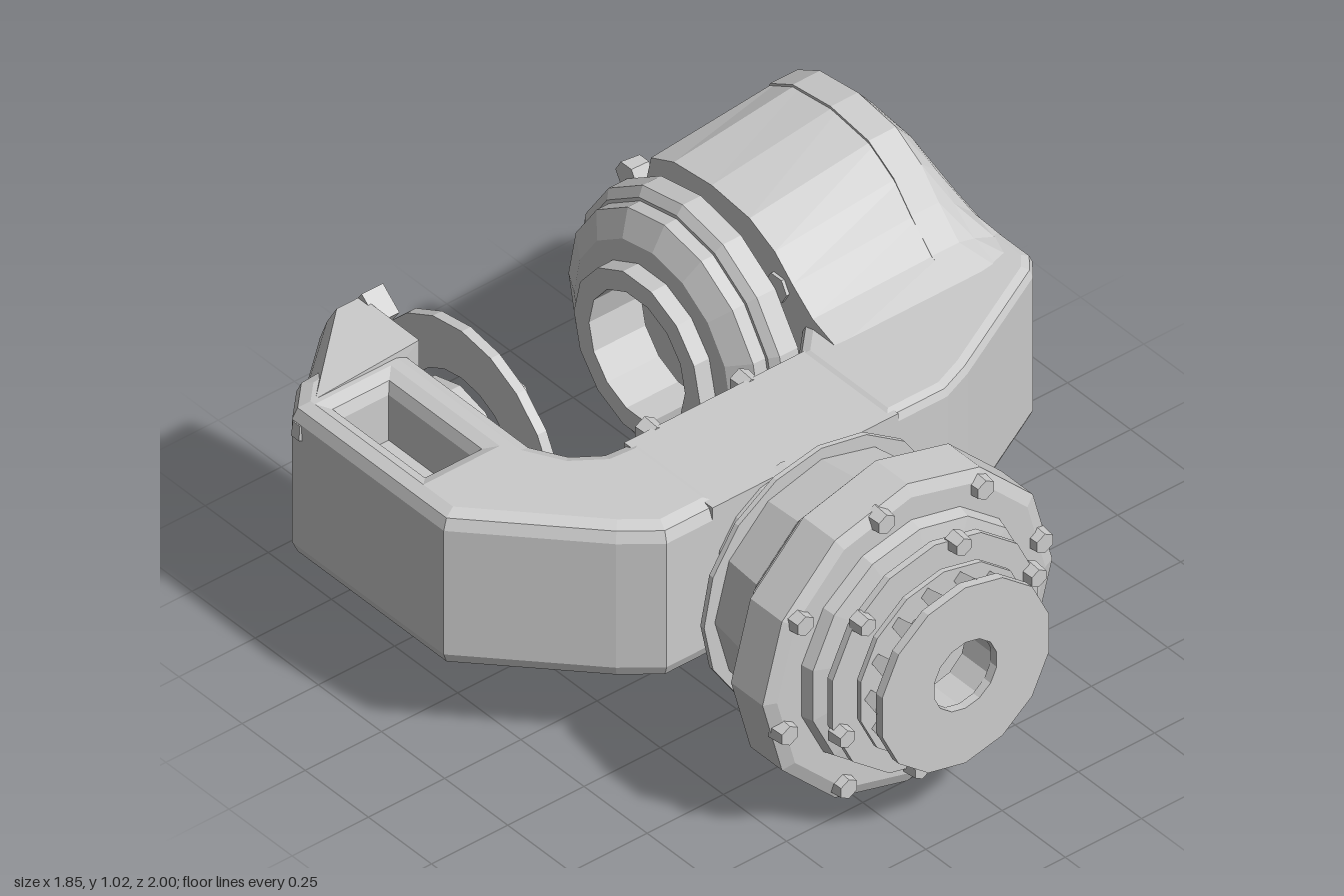
import * as THREE from 'three';
import { ConvexGeometry } from 'three/addons/geometries/ConvexGeometry.js';

const V = (x, y, z) => new THREE.Vector3(x, y, z);
const AXIS_Y = 0.5, AXIS_Z = -0.53; // tilt joint runs along x
const FLANGE_X = -0.12;             // tool flange runs along z

export function createModel() {
  const root = new THREE.Group();
  root.name = 'robotWrist';
  const mat = new THREE.MeshStandardMaterial({ color: 0xcccccc, flatShading: true, side: THREE.DoubleSide });

  const add = (name, geo, parent) => {
    const m = new THREE.Mesh(geo, mat);
    m.name = name;
    parent.add(m);
    return m;
  };
  const group = (name) => {
    const g = new THREE.Group();
    g.name = name;
    root.add(g);
    return g;
  };
  const points = (pts) => pts.map(([a, b]) => new THREE.Vector2(a, b));
  const shapeOf = (pts) => new THREE.Shape(points(pts));
  const extrude = (shape, depth, bevel = 0) => {
    const g = new THREE.ExtrudeGeometry(shape, {
      depth: depth - 2 * bevel, curveSegments: 8, bevelEnabled: bevel > 0,
      bevelSize: bevel, bevelThickness: bevel, bevelOffset: -bevel, bevelSegments: 2,
    });
    return g.translate(0, 0, bevel);
  };
  // Outline in plan (x, z), raised between two heights
  const plan = (shape, y0, y1, bevel) => extrude(shape, y1 - y0, bevel).rotateX(Math.PI / 2).translate(0, y1, 0);
  // Turned profiles [radius, position] on the two machine axes
  const turn = (pts, segs) => new THREE.LatheGeometry(points(pts), segs);
  const turnX = (pts, segs) => turn(pts, segs).rotateZ(-Math.PI / 2).translate(0, AXIS_Y, AXIS_Z);
  const turnZ = (pts, segs) => turn(pts, segs).rotateX(Math.PI / 2).translate(FLANGE_X, 0.495, 0);
  const ringProfile = (ri, ro, a, b) => [[ri, a], [ro, a], [ro, b], [ri, b], [ri, a]];
  const bolt = (parent, x, y, z, s = 0.045) => {
    const m = add('bolt', new THREE.CylinderGeometry(s * 0.6, s * 0.7, s, 6), parent);
    m.position.set(x, y, z);
    return m;
  };

  // Yoke: centre block with a recess behind and a bore in front, and the two bent arms
  const yoke = group('yoke');
  const block = [[-0.37, 0.26], [0.24, 0.26], [0.24, 0.735], [-0.37, 0.735]];
  const frontWall = shapeOf(block), frame = shapeOf(block);
  frontWall.holes.push(new THREE.Path().absarc(FLANGE_X, 0.495, 0.15, 0, Math.PI * 2, true));
  frame.holes.push(new THREE.Path(points([[-0.32, 0.32], [-0.32, 0.68], [0.09, 0.68], [0.09, 0.32]])));
  add('yokeFront', extrude(frontWall, 0.1).translate(0, 0, 0.2), yoke);
  add('yokeFrame', extrude(frame, 0.25).translate(0, 0, -0.05), yoke);

  const rightRoot = [[0.2, -0.05], [0.2, 0.3], [0.4, 0.3], [0.5, 0.26], [0.88, 0.06], [0.92, 0.01], [0.92, -0.74],
    [0.85, -0.78], [0.72, -0.6], [0.72, -0.15], [0.3, -0.15]];
  add('motorArm', plan(shapeOf(rightRoot), 0.255, 0.74, 0.03), yoke);

  const leftRoot = [[-0.32, 0.3], [-0.52, 0.3], [-0.62, 0.22], [-0.92, -0.1], [-0.92, -0.7], [-0.84, -0.78],
    [-0.55, -0.8], [-0.55, -0.2], [-0.5, -0.11], [-0.43, -0.06], [-0.32, -0.05]];
  add('bearingArmLower', plan(shapeOf(leftRoot), 0.255, 0.55, 0.045), yoke);
  const upper = shapeOf(leftRoot);
  upper.holes.push(new THREE.Path(points([[-0.83, -0.62], [-0.67, -0.62], [-0.67, -0.28], [-0.83, -0.28]])));
  add('bearingArmUpper', plan(upper, 0.44, 0.74, 0.045), yoke);
  for (const x of [-0.27, 0.04]) bolt(yoke, x, 0.71, -0.065, 0.05).rotation.x = Math.PI / 2;

  // Bearing arm end: faceted shell tapering outwards from a round rim
  const bearing = group('bearingEnd');
  const rim = (from, to, n) => {
    const pts = [];
    for (let i = 0; i <= n; i++) {
      const a = from + (to - from) * i / n;
      const y = 0.48 + 0.48 * Math.sin(a), z = AXIS_Z + 0.47 * Math.cos(a);
      pts.push(V(-0.52, y, z), V(-0.6, y, z));
    }
    return pts;
  };
  add('lowerShell', new ConvexGeometry([...rim(Math.PI, Math.PI * 1.93, 10),
    V(-0.92, 0.52, -0.7), V(-0.92, 0.52, -0.12), V(-0.92, 0.32, -0.68), V(-0.92, 0.32, -0.15),
    V(-0.82, 0.255, -0.64), V(-0.82, 0.255, -0.2)]), bearing);
  add('rearShell', new ConvexGeometry([...rim(Math.PI * 0.8, Math.PI, 4),
    V(-0.52, 0.76, -0.68), V(-0.6, 0.75, -0.68), V(-0.52, 0.48, -0.68), V(-0.9, 0.48, -0.67),
    V(-0.92, 0.5, -0.7), V(-0.92, 0.64, -0.7), V(-0.86, 0.74, -0.68)]), bearing);
  // Raised lip round the back and underside
  const lip = new THREE.Shape();
  lip.absarc(0, 0, 0.475, Math.PI * 0.22, -Math.PI * 0.8, true);
  lip.absarc(0, 0, 0.39, -Math.PI * 0.8, Math.PI * 0.22, false);
  add('rimLip', extrude(lip, 0.07).rotateY(Math.PI / 2).translate(-0.53, 0.48, AXIS_Z), bearing);
  add('bearingRing', turnX(ringProfile(0.22, 0.37, -0.505, -0.475), 20), bearing);
  add('bearingSeat', turnX(ringProfile(0.1, 0.2, -0.56, -0.51), 12), bearing);
  for (let i = 0; i < 8; i++) {
    const a = i * Math.PI / 4 + 0.2;
    bolt(bearing, -0.46, AXIS_Y + 0.31 * Math.sin(a), AXIS_Z + 0.31 * Math.cos(a), 0.03).rotation.z = -Math.PI / 2;
  }
  bolt(bearing, -0.9, 0.67, -0.68);

  // Motor drum, cooling fins and mounting rings
  const motor = group('motor');
  add('motorDrum', turnX([[0, 0.26], [0.36, 0.26], [0.36, 0.72], [0, 0.72]], 24), motor);
  for (let i = 0; i < 8; i++) {
    const x = 0.325 + i * 0.044;
    add('coolingFin', turnX(ringProfile(0.34, 0.405, x, x + 0.012), 24), motor);
  }
  add('motorFlange', turnX([[0.2, 0.2], [0.39, 0.2], [0.415, 0.22], [0.415, 0.28], [0.37, 0.3], [0.2, 0.3]], 16), motor);
  add('flangeStep', turnX([[0.22, 0.12], [0.31, 0.12], [0.38, 0.16], [0.38, 0.2], [0.22, 0.2], [0.22, 0.12]], 16), motor);
  add('motorHub', turnX(ringProfile(0.19, 0.25, 0.07, 0.24), 14), motor);
  for (let i = 0; i < 4; i++) {
    const a = Math.PI * (0.25 + i / 2);
    bolt(motor, 0.31, AXIS_Y + 0.42 * Math.sin(a), AXIS_Z + 0.42 * Math.cos(a), 0.06).rotation.z = -Math.PI / 2;
  }

  // Motor cover: humped hood [-z, y], a little lower towards the joint
  const hump = [[0, 0.735], [0.1, 0.78], [0.18, 0.86], [0.25, 0.94], [0.35, 1.0], [0.5, 1.02], [0.65, 1.0], [0.74, 0.95]];
  const hood = extrude(shapeOf([[0, 0.26], ...hump, [0.76, 0.84], [0.6, 0.8], [0.3, 0.6], [0.2, 0.26]]), 0.45)
    .rotateY(Math.PI / 2).translate(0.29, 0, 0);
  const hp = hood.attributes.position;
  for (let i = 0; i < hp.count; i++) {
    const drop = 0.21 * Math.max(0, hp.getY(i) - 0.74) * (0.74 - hp.getX(i)) / 0.45;
    hp.setY(i, hp.getY(i) - drop);
  }
  hood.computeVertexNormals();
  add('motorHood', hood, motor);

  // End cap: the full profile sloping in to a flat, nearly rectangular outer face
  const profile = [...hump, [0.78, 0.85], [0.87, 0.75], [0.94, 0.62], [0.945, 0.42], [0.9, 0.27], [0.82, 0.15],
    [0.7, 0.07], [0.55, 0.05], [0.4, 0.07], [0.25, 0.12], [0.1, 0.22], [0, 0.26]];
  const sections = [[0.68, 0], [0.77, 0], [0.82, 0.2], [0.885, 0.65], [0.92, 1]]; // [x, slope-in]
  const { clamp, lerp } = THREE.MathUtils;
  const pos = [], idx = [], n = profile.length;
  for (const [x, t] of sections) {
    for (const [u, y] of profile) pos.push(x, lerp(y, clamp(y, 0.28, 0.72), t), -lerp(u, clamp(u, 0, 0.78), t));
  }
  for (let s = 0; s < sections.length - 1; s++) {
    for (let i = 0; i < n; i++) {
      const a = s * n + i, b = s * n + (i + 1) % n;
      idx.push(a, b, a + n, b, b + n, a + n);
    }
  }
  for (const s of [0, sections.length - 1]) {
    const c = pos.length / 3;
    pos.push(sections[s][0], 0.5, -0.4);
    for (let i = 0; i < n; i++) {
      const a = s * n + i, b = s * n + (i + 1) % n;
      idx.push(...(s ? [a, b, c] : [b, a, c]));
    }
  }
  const cap = new THREE.BufferGeometry();
  cap.setAttribute('position', new THREE.Float32BufferAttribute(pos, 3));
  cap.setIndex(idx);
  cap.computeVertexNormals();
  add('motorEndCap', cap, motor);
  for (const y of [0.22, 0.78]) bolt(motor, 0.885, y, -0.6, 0.05).rotation.z = -Math.PI / 2;

  // Tool flange: stack of bored rings along z
  const flange = group('toolFlange');
  add('neck', turnZ(ringProfile(0.13, 0.245, 0.27, 0.42), 16), flange);
  add('backPlate', turnZ(ringProfile(0.13, 0.385, 0.415, 0.43), 16), flange);
  add('gearHousing', turnZ([[0.13, 0.43], [0.35, 0.43], [0.37, 0.56], [0.42, 0.6], [0.43, 0.645],
    [0.475, 0.645], [0.475, 0.77], [0.44, 0.785], [0.13, 0.785], [0.13, 0.43]], 12), flange);
  add('stepRing', turnZ([[0.13, 0.78], [0.37, 0.78], [0.36, 0.82], [0.3, 0.83], [0.3, 0.86], [0.13, 0.86]], 14), flange);
  add('sealRing', turnZ(ringProfile(0.13, 0.345, 0.86, 0.88), 14), flange);
  add('spigot', turnZ(ringProfile(0.11, 0.2, 0.87, 0.98), 12), flange);
  // Open tool plate: two discs joined by wedge posts
  add('toolPlateBack', turnZ(ringProfile(0.18, 0.28, 0.9, 0.915), 14), flange);
  add('toolPlateFront', turnZ(ringProfile(0.105, 0.28, 0.975, 1.0), 14), flange);
  for (let i = 0; i < 14; i++) {
    const a = i * Math.PI / 7;
    const post = add('platePost', new THREE.CylinderGeometry(0.035, 0.02, 0.07, 4), flange);
    post.rotation.x = Math.PI / 2;
    post.position.set(FLANGE_X + 0.24 * Math.cos(a), 0.495 + 0.24 * Math.sin(a), 0.945);
  }
  const boltCircle = (count, r, z, s) => {
    for (let i = 0; i < count; i++) {
      const a = (i + 0.3) * Math.PI * 2 / count;
      bolt(flange, FLANGE_X + r * Math.cos(a), 0.495 + r * Math.sin(a), z, s).rotation.x = Math.PI / 2;
    }
  };
  boltCircle(8, 0.43, 0.785, 0.05);
  boltCircle(6, 0.33, 0.89, 0.045);
  return root;
}
